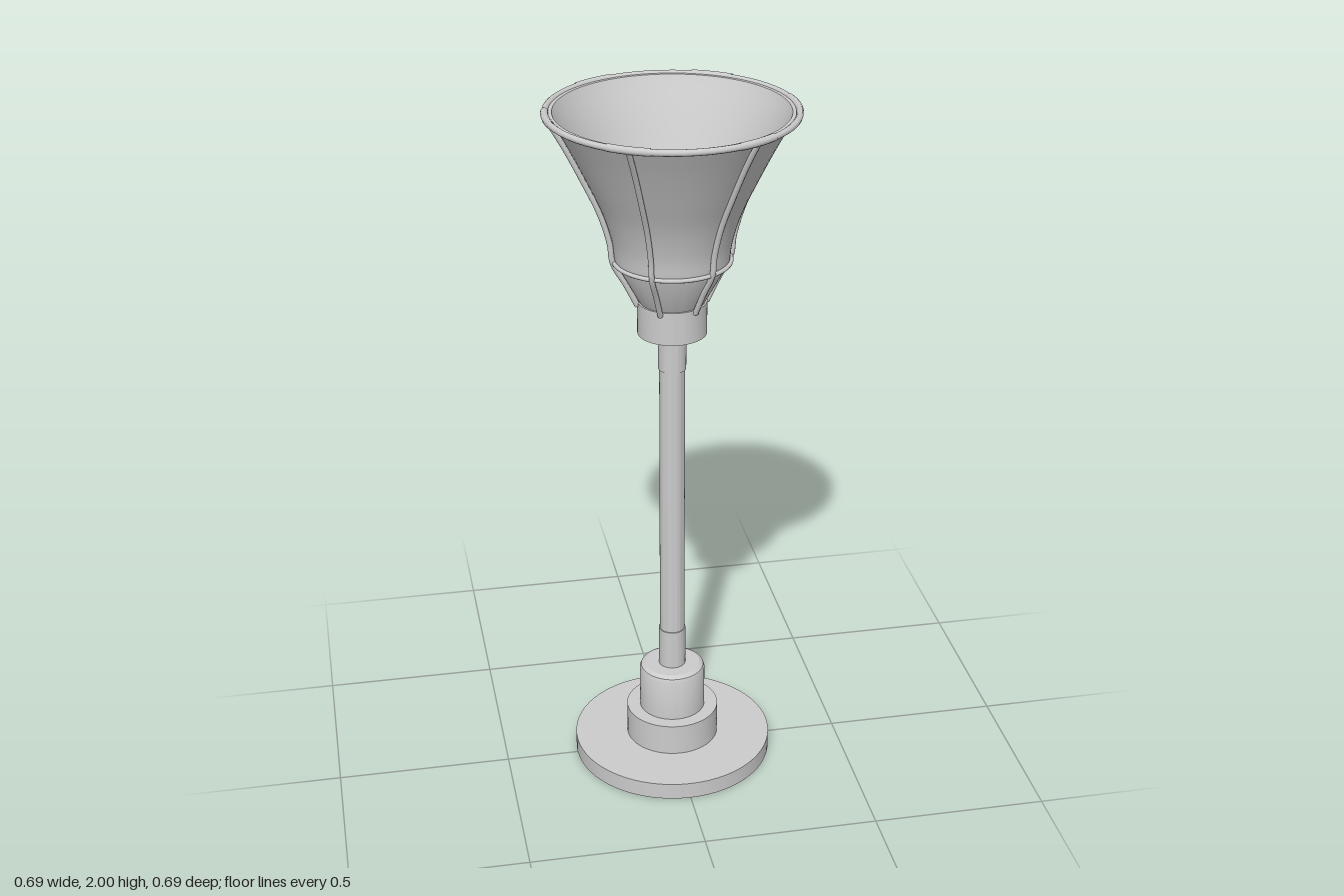
import * as THREE from 'three';
import { toCreasedNormals } from 'three/addons/utils/BufferGeometryUtils.js';

const material = new THREE.MeshStandardMaterial({ color: 0xcccccc, side: THREE.DoubleSide });

export function createModel() {
  const model = new THREE.Group();

  const add = (name, geometry, parent = model) => {
    const mesh = new THREE.Mesh(geometry, material);
    mesh.name = name;
    parent.add(mesh);
    return mesh;
  };
  // Turned part from [radius, height] pairs, listed bottom to top on the outside
  const turned = (name, profile, crease = 0.5) => {
    const points = profile.map(([r, y]) => new THREE.Vector2(r, y));
    return add(name, toCreasedNormals(new THREE.LatheGeometry(points, 64), crease));
  };
  const ring = (name, radius, tube, y) => {
    const mesh = add(name, new THREE.TorusGeometry(radius, tube, 10, 64));
    mesh.rotation.x = Math.PI / 2;
    mesh.position.y = y;
    return mesh;
  };

  // Stepped base
  turned('basePlate', [[0, 0], [0.29, 0], [0.29, 0.05], [0, 0.05]]);
  turned('baseStep', [[0, 0.05], [0.135, 0.05], [0.135, 0.145], [0, 0.145]]);
  turned('baseSocket', [[0, 0.145], [0.096, 0.145], [0.096, 0.272], [0.092, 0.282], [0.08, 0.289], [0, 0.289]]);

  // Pole with a slim sleeve at each end
  turned('pole', [[0.036, 0.28], [0.036, 1.38]]);
  for (const [name, y0, y1] of [['lowerSleeve', 0.28, 0.41], ['upperSleeve', 1.25, 1.37]]) {
    turned(name, [[0.036, y0], [0.039, y0], [0.039, y1], [0.036, y1]]);
  }
  turned('collar', [[0, 1.36], [0.096, 1.36], [0.096, 1.455], [0, 1.455]]);

  // Flared shade: a short cone below, a curved bell above, with a thin wall
  const bell = new THREE.CatmullRomCurve3([
    [0.156, 1.575], [0.163, 1.63], [0.188, 1.715], [0.231, 1.81], [0.278, 1.905], [0.325, 1.992],
  ].map(([r, y]) => new THREE.Vector3(r, y, 0))).getPoints(24).map((p) => [p.x, p.y]);
  const outer = [[0.088, 1.45], ...bell];
  const inner = outer.map(([r, y]) => [r - 0.008, y + 0.002]).reverse();
  inner[0] = [0.315, 1.992];
  turned('shade', [...outer, ...inner, [0, 1.452]], 0.6);

  // Hoops around the waist and the mouth of the shade
  ring('waistHoop', 0.16, 0.006, 1.575);
  ring('mouthHoop', 0.334, 0.009, 1.989);

  // Six ribs, each with a short clip along the mouth hoop
  const path = new THREE.CatmullRomCurve3([
    [0.096, 1.445], [0.128, 1.51], [0.163, 1.575], [0.17, 1.63], [0.195, 1.715], [0.238, 1.81], [0.285, 1.905], [0.332, 1.988],
  ].map(([r, y]) => new THREE.Vector3(r, y, 0)));
  const ribGeometry = new THREE.TubeGeometry(path, 40, 0.008, 8);
  const clipArc = Math.PI / 9;
  const clipGeometry = new THREE.TorusGeometry(0.334, 0.0105, 10, 10, clipArc);
  clipGeometry.rotateZ(-clipArc / 2).rotateX(Math.PI / 2).translate(0, 1.9895, 0);
  for (let i = 0; i < 6; i++) {
    const rib = new THREE.Group();
    rib.name = `rib${i + 1}`;
    add('ribBar', ribGeometry, rib);
    add('ribClip', clipGeometry, rib);
    rib.rotation.y = (i * Math.PI) / 3;
    model.add(rib);
  }
  return model;
}
